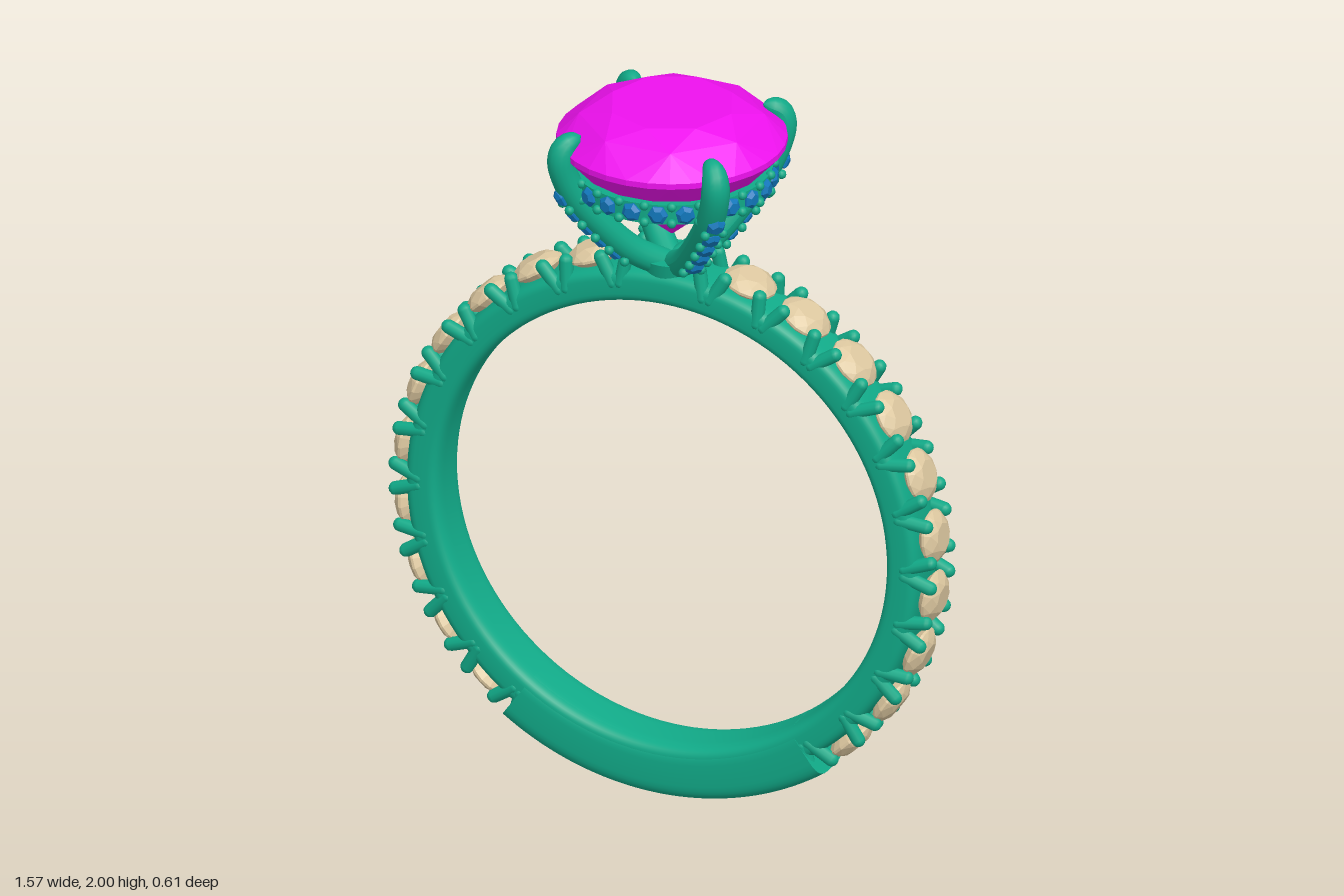
import * as THREE from 'three';
import { ConvexGeometry } from 'three/addons/geometries/ConvexGeometry.js';

const V = (x, y, z = 0) => new THREE.Vector3(x, y, z);
const UP = V(0, 1, 0);
const CY = 0.795; // height of the band centre
const DEG = Math.PI / 180;

const metal = new THREE.MeshStandardMaterial({ color: 0x11aa88 });
const metalThin = new THREE.MeshStandardMaterial({ color: 0x11aa88, side: THREE.DoubleSide });
const magenta = new THREE.MeshStandardMaterial({ color: 0xee11ee });
const cream = new THREE.MeshStandardMaterial({ color: 0xddc8a0 });
const blue = new THREE.MeshStandardMaterial({ color: 0x1177bb });

function add(parent, name, geometry, material, pos, dir) {
  const m = new THREE.Mesh(geometry, material);
  m.name = name;
  if (pos) m.position.copy(pos);
  if (dir) m.quaternion.setFromUnitVectors(UP, dir.clone().normalize());
  parent.add(m);
  return m;
}

// Faceted round stone from rings of [radius, height, count, twist]; girdle near y = 0
function gem(rings) {
  const pts = [];
  for (const [r, y, n, twist] of rings)
    for (let i = 0; i < n; i++) {
      const a = ((i + twist) / n) * Math.PI * 2;
      pts.push(V(r * Math.cos(a), y, r * Math.sin(a)));
    }
  return new ConvexGeometry(pts);
}

// Rounded-rectangle cross-section of the band: x = radius, y = width
function section(inner, outer, half) {
  const soft = (v) => Math.sign(v) * Math.pow(Math.abs(v), 0.5);
  const pts = [];
  for (let i = 0; i <= 40; i++) {
    const a = (i / 40) * Math.PI * 2;
    pts.push(new THREE.Vector2((inner + outer) / 2 + ((outer - inner) / 2) * soft(Math.cos(a)),
      half * soft(Math.sin(a))));
  }
  return pts;
}

// Tube whose radius follows a rule along its length
function taperedTube(curve, n, m, radius) {
  const g = new THREE.TubeGeometry(curve, n, 1, m);
  const p = g.attributes.position;
  for (let i = 0; i <= n; i++) {
    const c = curve.getPointAt(i / n), r = radius(i / n);
    for (let j = 0; j <= m; j++) {
      const k = i * (m + 1) + j;
      const v = V().fromBufferAttribute(p, k).sub(c).multiplyScalar(r).add(c);
      p.setXYZ(k, v.x, v.y, v.z);
    }
  }
  g.computeVertexNormals();
  return g;
}

function makeBand() {
  const band = new THREE.Group();
  band.name = 'band';
  band.position.y = CY;

  // Inner ring carrying the stones
  add(band, 'bandCore', new THREE.LatheGeometry(section(0.64, 0.738, 0.083), 128).rotateX(Math.PI / 2), metal);

  // Thicker plain part at the bottom, with its two end faces
  const half = 35.5 * DEG, thick = section(0.639, 0.795, 0.086);
  add(band, 'plainShank', new THREE.LatheGeometry(thick, 40, -half, half * 2).rotateX(Math.PI / 2), metal);
  for (const s of [-1, 1])
    add(band, 'shankEnd', new THREE.ShapeGeometry(new THREE.Shape(thick))
      .rotateX(Math.PI / 2).rotateZ(-Math.PI / 2 + s * half), metalThin);

  // Ten stones per side, with pairs of claws in every gap
  const stone = gem([[0.04, 0.028, 8, 0], [0.06, 0.017, 8, 0.5], [0.073, 0.003, 16, 0],
    [0.073, -0.004, 16, 0], [0.012, -0.05, 8, 0]]);
  const claw = new THREE.CapsuleGeometry(0.019, 0.075, 5, 10);
  const step = 13.3, first = -47;
  const polar = (r, deg, s, z = 0) => V(s * r * Math.cos(deg * DEG), r * Math.sin(deg * DEG), z);
  for (const s of [-1, 1]) {
    for (let i = 0; i < 10; i++) {
      const a = first + i * step;
      add(band, 'bandStone', stone, cream, polar(0.757, a, s), polar(1, a, s));
    }
    for (let i = 0; i <= 10; i++) {
      const a = first + (i - 0.5) * step;
      for (const side of [-1, 1])
        for (const t of [-1, 1]) {
          const low = polar(0.69, a + t * 0.7, s, side * 0.068);
          const tip = polar(0.775, a + t * 2.9, s, side * 0.06);
          add(band, 'bandClaw', claw, metal, low.clone().lerp(tip, 0.5), tip.clone().sub(low));
        }
    }
  }
  return band;
}

function makeSetting() {
  const setting = new THREE.Group();
  setting.name = 'setting';

  // Large centre stone
  add(setting, 'centreStone', gem([[0.17, 0.1, 8, 0], [0.245, 0.068, 8, 0.5], [0.305, 0.008, 32, 0],
    [0.305, -0.008, 32, 0], [0.235, -0.085, 16, 0.5], [0.004, -0.28, 8, 0]]), magenta, V(0, 1.9));

  // Foot joining the prongs to the band
  add(setting, 'foot', new THREE.CylinderGeometry(0.085, 0.07, 0.07, 32), metal, V(0, 1.525));

  // Round rail below the centre stone
  const rail = [[0.235, 1.772], [0.268, 1.772], [0.268, 1.828], [0.235, 1.828], [0.235, 1.772]];
  const corners = rail.flatMap(([r, y], i) => (i && i < 4 ? [[r, y], [r, y]] : [[r, y]]));
  add(setting, 'rail', new THREE.LatheGeometry(corners.map(([r, y]) => new THREE.Vector2(r, y)), 64), metal);

  const chip = gem([[0.016, 0.012, 6, 0], [0.027, 0.002, 6, 0], [0.027, -0.004, 6, 0], [0.004, -0.018, 6, 0]]);
  const bead = new THREE.SphereGeometry(0.013, 10, 8);

  // Prong path drawn in the x-y plane, then turned to each diagonal
  const path = new THREE.CatmullRomCurve3([V(0, 1.525), V(0.11, 1.59), V(0.2, 1.68), V(0.28, 1.785),
    V(0.313, 1.88), V(0.303, 1.925), V(0.258, 1.95)]);
  const prongGeo = taperedTube(path, 48, 16, (u) =>
    u < 0.82 ? 0.038 : 0.038 * Math.sqrt(Math.max(0, 1 - Math.pow((u - 0.82) / 0.18, 2))));

  for (let q = 0; q < 4; q++) {
    const corner = new THREE.Group();
    corner.name = 'prongAssembly';
    corner.rotation.y = (q + 0.5) * Math.PI / 2;
    setting.add(corner);
    add(corner, 'prong', prongGeo, metal);

    // Small stones and beads down the outer face of the prong
    const frame = (u) => {
      const t = path.getTangentAt(u), n = V(t.y, -t.x);
      return { n, p: path.getPointAt(u).addScaledVector(n, 0.036) };
    };
    for (let i = 0; i < 5; i++) {
      const u = 0.29 + i * 0.096;
      const { n, p } = frame(u);
      add(corner, 'prongStone', chip, blue, p, n);
      for (const z of [-1, 1]) {
        const b = frame(u - 0.048).p;
        add(corner, 'prongBead', bead, metal, b.setZ(z * 0.025));
      }
    }

    // Five rail stones between neighbouring prongs, with beads above and below
    for (let i = -3; i < 3; i++) {
      const at = (deg, r, y) => {
        const a = (45 + deg) * DEG;
        return V(r * Math.cos(a), y, r * Math.sin(a));
      };
      if (i > -3) add(corner, 'railStone', chip, blue, at(i * 15.5, 0.27, 1.8), at(i * 15.5, 1, 0));
      for (const y of [1.776, 1.824])
        add(corner, 'railBead', bead, metal, at((i + 0.5) * 15.5, 0.27, y));
    }
  }
  return setting;
}

export function createModel() {
  const ring = new THREE.Group();
  ring.name = 'ring';
  ring.add(makeBand(), makeSetting());
  return ring;
}
